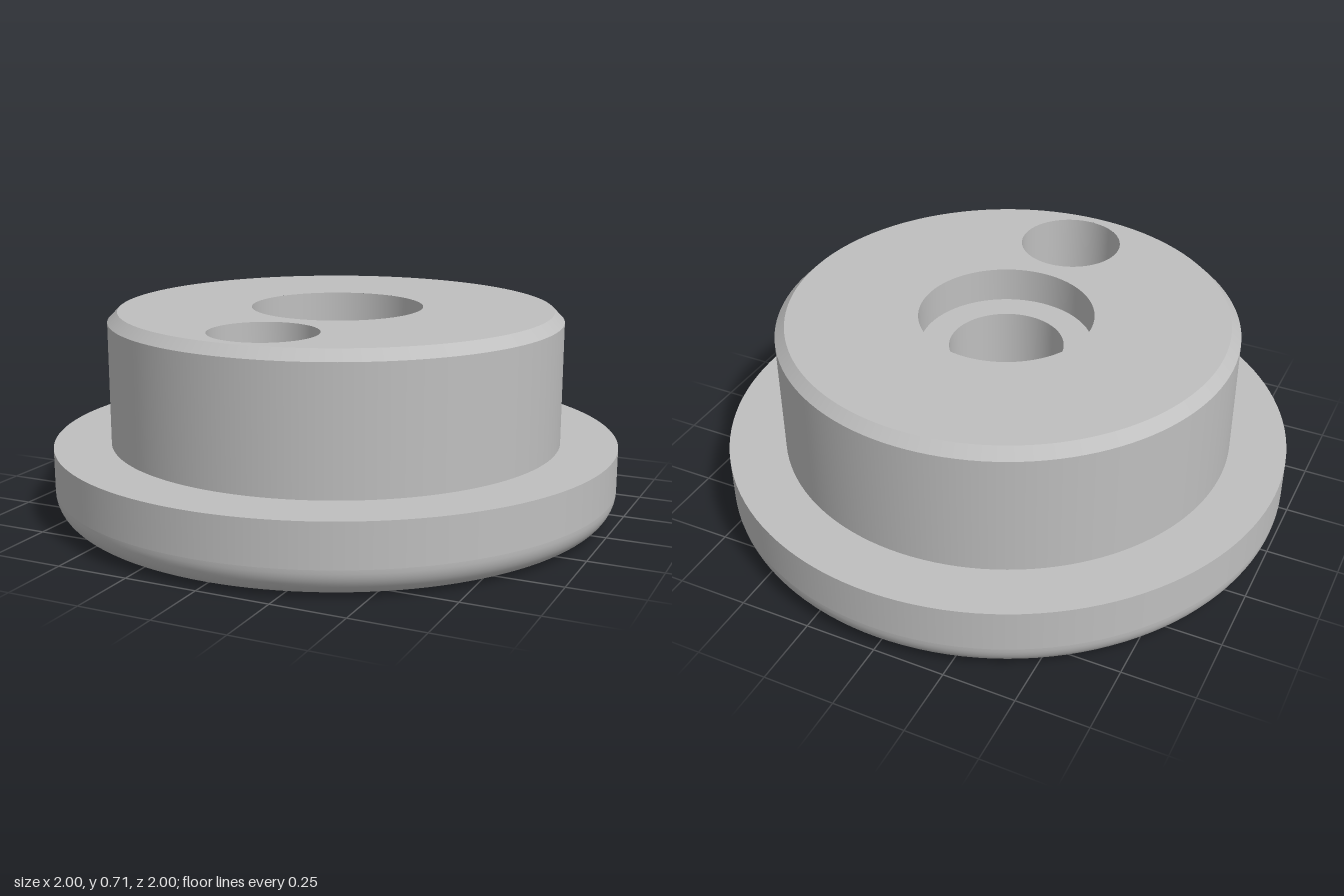
import * as THREE from 'three';
import { mergeGeometries } from 'three/addons/utils/BufferGeometryUtils.js';

const SEG = 128;
const BORE_Z = -0.013, POCKET_Z = 0.547;
const BORE_R = 0.2, COUNTERBORE_R = 0.303, POCKET_R = 0.183;
const BASE_R = 1, BODY_R = 0.8, FILLET = 0.1, CHAMFER = 0.035, BORE_CHAMFER = 0.03;
const FLANGE_Y = 0.25, TOP_Y = 0.715;

// Revolve each section separately, so edges between sections stay sharp
function revolve(sections, z = 0) {
  const parts = sections.map((pts) =>
    new THREE.LatheGeometry(pts.map(([r, y]) => new THREE.Vector2(r, y)), SEG));
  return mergeGeometries(parts).translate(0, 0, z);
}

// Chain of straight, sharp-edged sections through the given profile points
const sharp = (pts) => pts.slice(1).map((p, i) => [pts[i], p]);

// Flat disc at height y with round holes given as [radius, z]
function disc(radius, holes, y, up) {
  const shape = new THREE.Shape().absarc(0, 0, radius, 0, Math.PI * 2, false);
  for (const [r, z] of holes) {
    shape.holes.push(new THREE.Path().absarc(0, up ? -z : z, r, 0, Math.PI * 2, true));
  }
  return new THREE.ShapeGeometry(shape, SEG)
    .rotateX(up ? -Math.PI / 2 : Math.PI / 2)
    .translate(0, y, 0);
}

export function createModel() {
  const group = new THREE.Group();
  const metal = new THREE.MeshStandardMaterial({ color: 0xbfbfbf });
  metal.name = 'grey metal';

  const add = (name, geometry) => {
    const mesh = new THREE.Mesh(geometry, metal);
    mesh.name = name;
    group.add(mesh);
  };

  // Flange: rounded lower edge, straight rim, flat shoulder
  const rim = [];
  for (let i = 0; i <= 12; i++) {
    const a = (i / 12) * Math.PI / 2;
    rim.push([BASE_R - FILLET + FILLET * Math.sin(a), FILLET - FILLET * Math.cos(a)]);
  }
  add('flange', revolve([
    rim,
    [[BASE_R, FILLET], [BASE_R, FLANGE_Y]],
    [[BASE_R, FLANGE_Y], [BODY_R, FLANGE_Y]],
  ]));

  // Cylindrical body with chamfered top edge
  add('body', revolve(sharp([
    [BODY_R, FLANGE_Y],
    [BODY_R, TOP_Y - CHAMFER],
    [BODY_R - CHAMFER, TOP_Y],
  ])));

  // Flat faces pierced by the holes
  add('topFace', disc(BODY_R - CHAMFER,
    [[COUNTERBORE_R, BORE_Z], [POCKET_R, POCKET_Z]], TOP_Y, true));
  add('bottomFace', disc(BASE_R - FILLET,
    [[BORE_R + BORE_CHAMFER, BORE_Z]], 0, false));

  // Stepped through bore, chamfered at the bottom
  add('centreBore', revolve(sharp([
    [COUNTERBORE_R, TOP_Y],
    [COUNTERBORE_R, TOP_Y - 0.125],
    [BORE_R, TOP_Y - 0.125],
    [BORE_R, BORE_CHAMFER],
    [BORE_R + BORE_CHAMFER, 0],
  ]), BORE_Z));

  // Blind round pocket near the front
  add('pocket', revolve(sharp([
    [POCKET_R, TOP_Y],
    [POCKET_R, FLANGE_Y],
    [0, FLANGE_Y],
  ]), POCKET_Z));

  return group;
}
